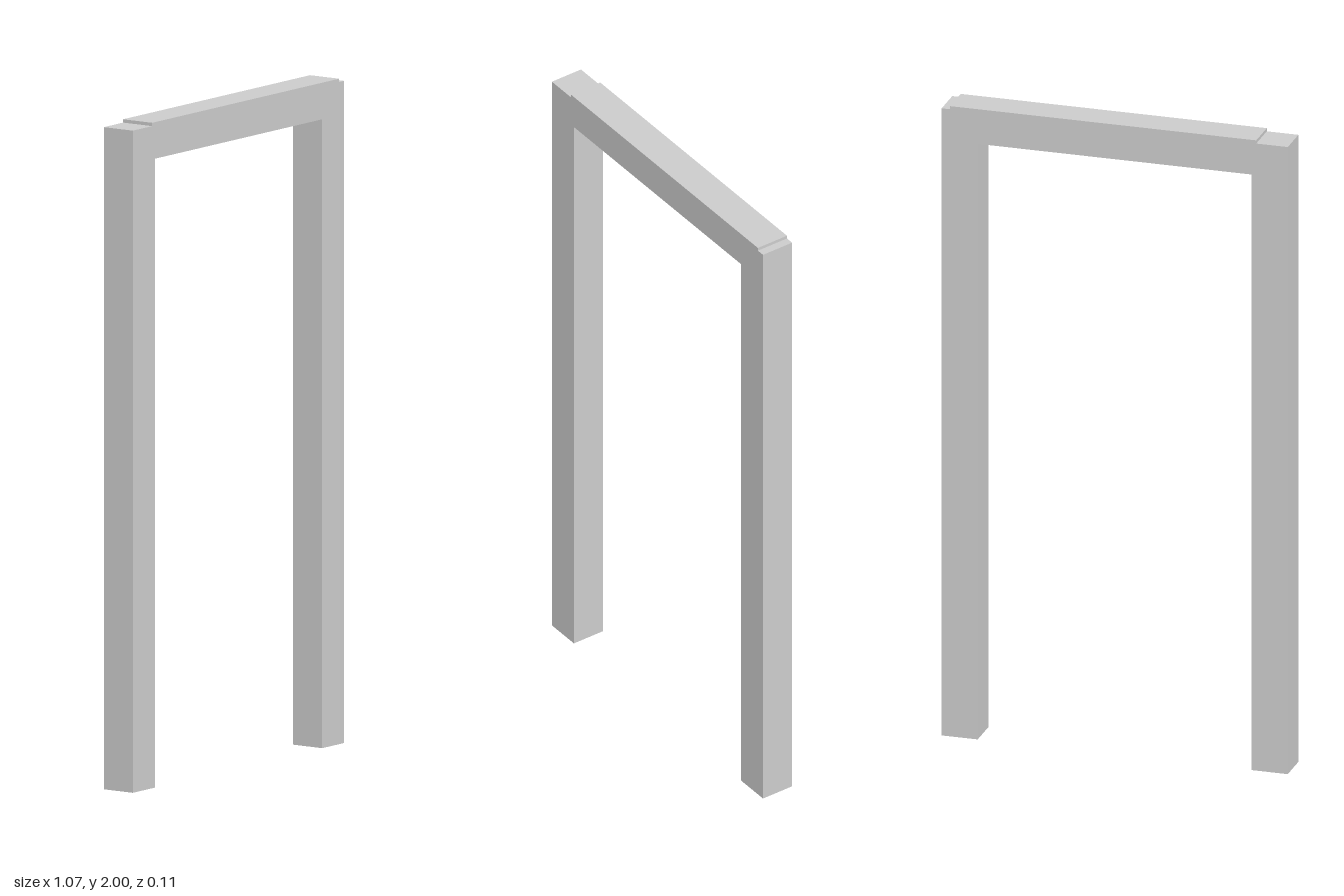
import * as THREE from 'three';

const DEPTH = 0.106;

export function createModel() {
  const group = new THREE.Group();
  const material = new THREE.MeshStandardMaterial({ color: 0xcccccc, flatShading: true });

  // Square timber spanning x0..x1 and y0..y1, centred in depth
  function beam(name, x0, x1, y0, y1) {
    const mesh = new THREE.Mesh(new THREE.BoxGeometry(x1 - x0, y1 - y0, DEPTH), material);
    mesh.position.set((x0 + x1) / 2, (y0 + y1) / 2, 0);
    mesh.name = name;
    group.add(mesh);
  }

  // Two upright posts
  beam('rightPost', -0.538, -0.426, 0, 1.99);
  beam('leftPost', 0.424, 0.536, 0, 1.99);

  // Lintel, set slightly off centre and proud of the post tops
  beam('lintel', -0.44, 0.51, 1.89, 2);

  return group;
}
